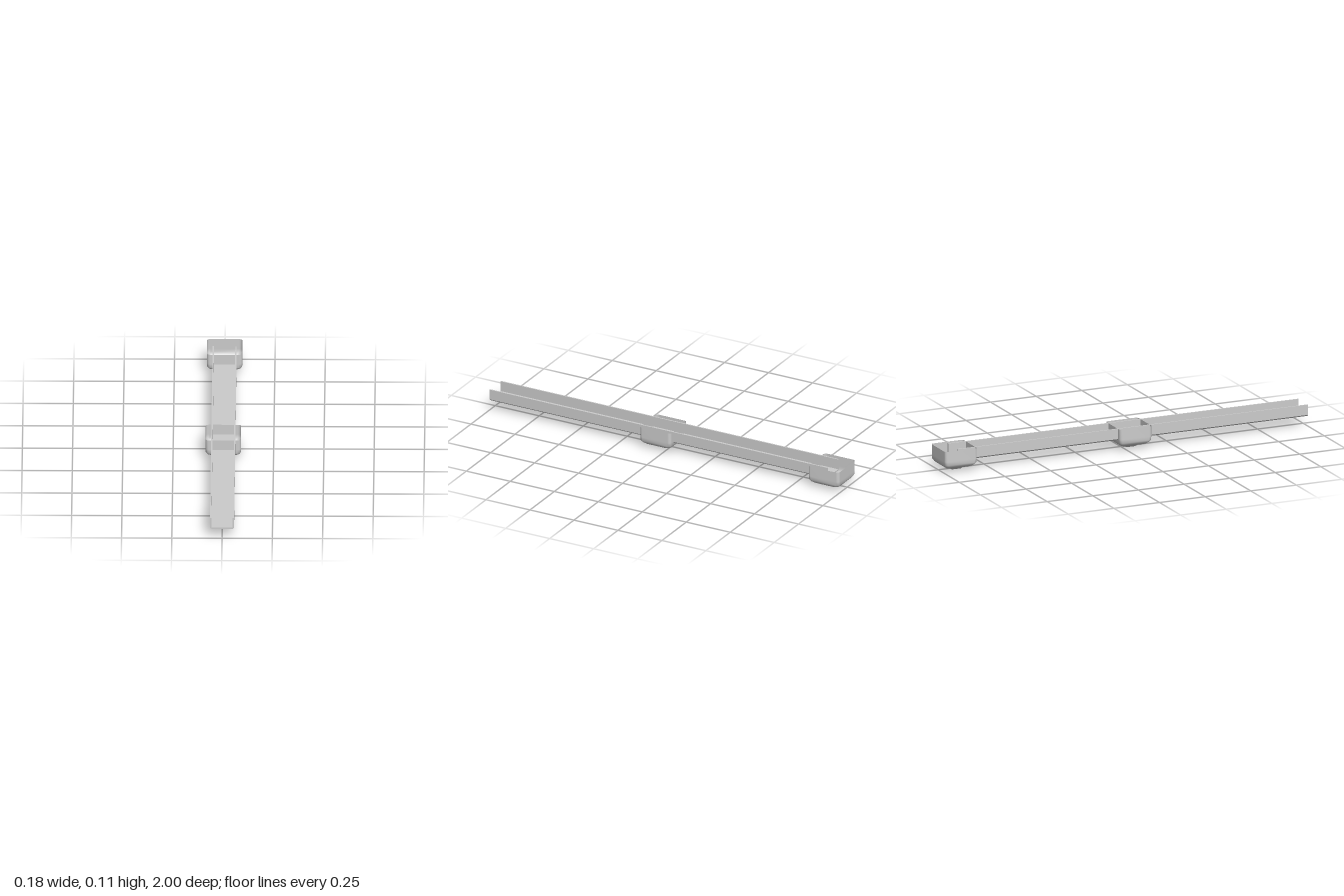
import * as THREE from 'three';

const material = new THREE.MeshStandardMaterial({ color: 0xcccccc, side: THREE.DoubleSide });

// U-shaped channel with chamfered lower edges, running along z
function makeChannel(zFront, zBack) {
  const w = 0.06, t = 0.007, y0 = 0.052, y1 = 0.112;
  const shape = new THREE.Shape([
    [-w, y1], [-w, y0 + t], [-w + t, y0], [w - t, y0], [w, y0 + t], [w, y1],
    [w - t, y1], [w - t, y0 + t], [-w + t, y0 + t], [-w + t, y1],
  ].map(([x, y]) => new THREE.Vector2(x, y)));
  const geo = new THREE.ExtrudeGeometry(shape, { depth: zFront - zBack, bevelEnabled: false });
  const mesh = new THREE.Mesh(geo, material);
  mesh.position.z = zBack;
  return mesh;
}

// Open-topped cup lofted from rounded squares: [half width, height, corner radius]
const CUP_RINGS = [
  [0.088, 0.112, 0.016], [0.088, 0.06, 0.016], [0.088, 0.041, 0.018],
  [0.081, 0.029, 0.02], [0.069, 0.02, 0.02], [0.051, 0.014, 0.016],
  [0.037, 0.0135, 0.006], [0.026, 0.001, 0.004], [0.024, 0, 0.004],
];

function makeCup() {
  const steps = 4, n = 4 * (steps + 1);
  const positions = [], index = [];
  for (const [half, y, r] of CUP_RINGS) {
    for (let c = 0; c < 4; c++) {
      const mid = (c + 0.5) * Math.PI / 2;
      const cx = Math.sign(Math.cos(mid)) * (half - r);
      const cz = Math.sign(Math.sin(mid)) * (half - r);
      for (let s = 0; s <= steps; s++) {
        const a = (c + s / steps) * Math.PI / 2;
        positions.push(cx + r * Math.cos(a), y, cz + r * Math.sin(a));
      }
    }
  }
  for (let k = 0; k < CUP_RINGS.length - 1; k++) {
    for (let i = 0; i < n; i++) {
      const a = k * n + i, b = k * n + (i + 1) % n;
      index.push(a, b, a + n, b, b + n, a + n);
    }
  }
  // closed underside
  const last = (CUP_RINGS.length - 1) * n, centre = positions.length / 3;
  positions.push(0, 0, 0);
  for (let i = 0; i < n; i++) index.push(last + i, last + (i + 1) % n, centre);

  const geo = new THREE.BufferGeometry();
  geo.setAttribute('position', new THREE.Float32BufferAttribute(positions, 3));
  geo.setIndex(index);
  geo.computeVertexNormals();
  return geo;
}

export function createModel() {
  const group = new THREE.Group();
  group.name = 'gutter';

  const channel = makeChannel(1, -0.92);
  channel.name = 'channel';
  group.add(channel);

  // middle and end collector cups
  const cupGeometry = makeCup();
  for (const [name, z] of [['middleCup', 0.045], ['endCup', -0.912]]) {
    const cup = new THREE.Mesh(cupGeometry, material);
    cup.name = name;
    cup.position.z = z;
    group.add(cup);
  }
  return group;
}
